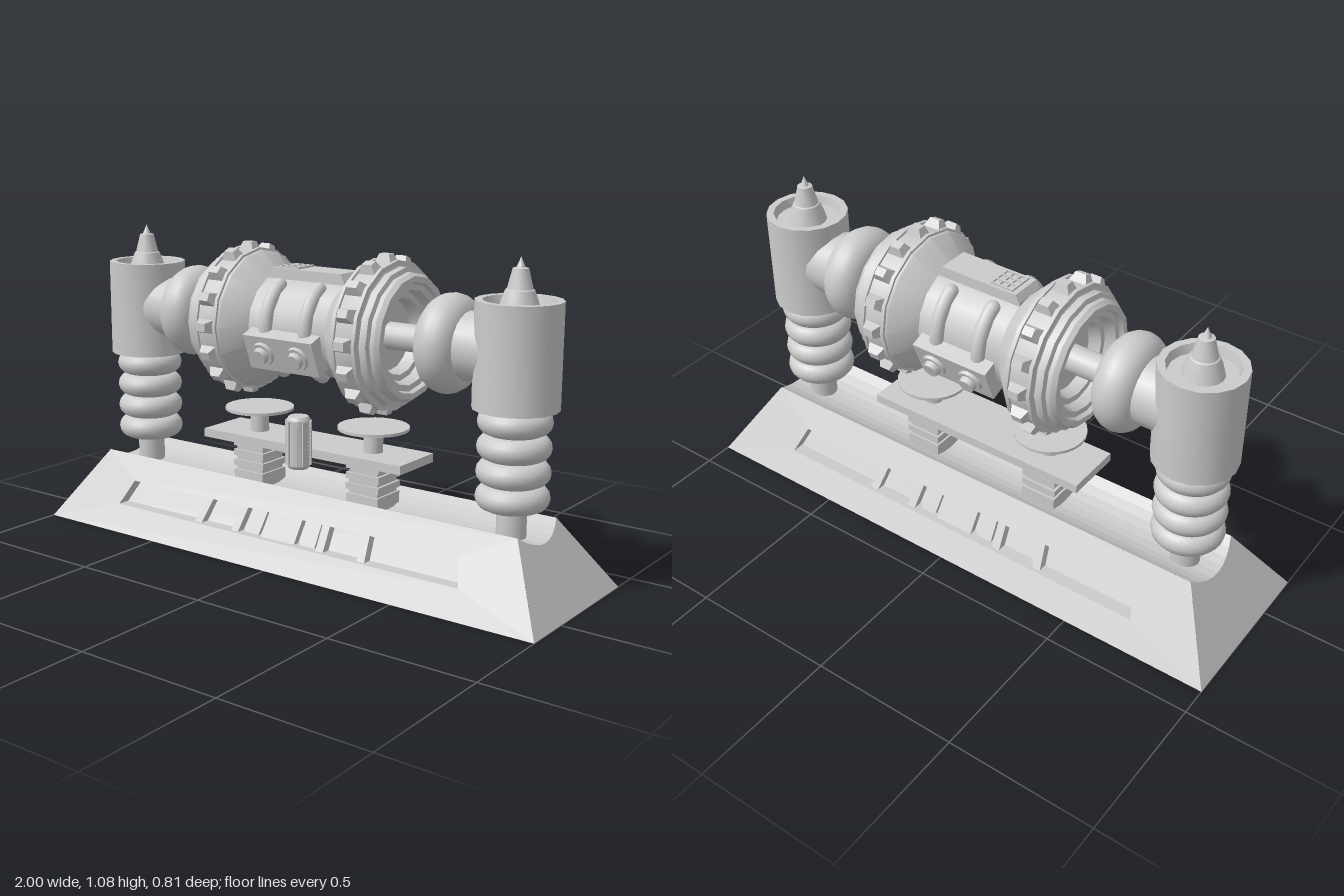
import * as THREE from 'three';
import { toCreasedNormals } from 'three/addons/utils/BufferGeometryUtils.js';

const material = new THREE.MeshStandardMaterial({ color: 0xcccccc });
const AXIS = 0.785; // height of the drum axis

function add(parent, name, geometry, x = 0, y = 0, z = 0) {
  const mesh = new THREE.Mesh(geometry, material);
  mesh.name = name;
  mesh.position.set(x, y, z);
  parent.add(mesh);
  return mesh;
}
function group(parent, name, x = 0, y = 0, z = 0) {
  const g = new THREE.Group();
  g.name = name;
  g.position.set(x, y, z);
  parent.add(g);
  return g;
}
const box = (w, h, d) => new THREE.BoxGeometry(w, h, d);
const cyl = (r1, r2, h, n = 20) => new THREE.CylinderGeometry(r1, r2, h, n);
const lathe = (points, n) => toCreasedNormals(
  new THREE.LatheGeometry(points.map(p => new THREE.Vector2(...p)), n), 0.5);

// Flat four-cornered faces, corners counter-clockwise
function quads(list) {
  const pos = [];
  for (const [a, b, c, d] of list) pos.push(...a, ...b, ...c, ...a, ...c, ...d);
  const g = new THREE.BufferGeometry();
  g.setAttribute('position', new THREE.Float32BufferAttribute(pos, 3));
  g.computeVertexNormals();
  return g;
}
// Moves every vertex of a geometry by a rule
function bend(geometry, rule) {
  const g = geometry.toNonIndexed();
  const p = g.attributes.position;
  for (let i = 0; i < p.count; i++) p.setXYZ(i, ...rule(p.getX(i), p.getY(i), p.getZ(i)));
  g.computeVertexNormals();
  return g;
}

// Sloped plinth with a trough on top and a recessed slot on each long side
function buildBase(root) {
  const base = group(root, 'base');
  const sideZ = y => 0.2875 - 0.653 * y, endX = y => 1 - 0.612 * y;
  const v = a => a.map(p => new THREE.Vector2(...p));
  const trough = [];
  for (let i = 0; i <= 8; i++) {
    const u = 0.1275 * (1 - i / 4);
    trough.push([u, 0.2 + 0.045 * (u / 0.1275) ** 2]);
  }
  const slot = [[-0.71, 0.085], [0.71, 0.085], [0.68, 0.165], [-0.68, 0.165]];
  const face = new THREE.Shape(v([[-1, 0], [1, 0], [0.85, 0.245], [-0.85, 0.245]]));
  face.holes.push(new THREE.Path(v(slot)));
  const faceGeo = bend(new THREE.ShapeGeometry(face), (x, y) => [x, y, sideZ(y)]);
  const outer = slot.map(([x, y]) => [x, y, sideZ(y)]);
  const inner = slot.map(([x, y]) => [x, y, sideZ(y) - 0.045]);
  const slotGeo = quads([inner, ...outer.map((p, i) => {
    const j = (i + 1) % 4;
    return [p, outer[j], inner[j], inner[i]];
  })]);
  const end = new THREE.Shape(v([[-0.2875, 0], [0.2875, 0], ...trough]));
  const endGeo = bend(new THREE.ShapeGeometry(end), (u, y) => [endX(y), y, -u]);
  for (const turn of [0, Math.PI]) {
    const half = group(base, turn ? 'backHalf' : 'frontHalf');
    half.rotation.y = turn;
    add(half, 'slopedFace', faceGeo);
    add(half, 'slotRecess', slotGeo);
    add(half, 'endFace', endGeo);
    // Raised panels and ribs inside the slot: centre, width, thickness
    for (const [x, w, t] of [[0, 0.14, 0.025], [0.115, 0.06, 0.015], [0.175, 0.03, 0.032], [0.335, 0.03, 0.032]])
      for (const s of x ? [-1, 1] : [1])
        add(half, 'slotRib', bend(box(w, 0.08, t), (px, py, pz) =>
          [px + s * x * (1 - 0.5 * py), py + 0.125, sideZ(py + 0.125) - 0.045 + t / 2 + pz]));
  }
  add(base, 'trough', quads(trough.slice(1).map(([u2, y2], i) => {
    const [u1, y1] = trough[i], a = endX(y1), b = endX(y2);
    return [[-a, y1, u1], [a, y1, u1], [b, y2, u2], [-b, y2, u2]];
  })));
  add(base, 'underside', quads([[[-1, 0, -0.2875], [1, 0, -0.2875], [1, 0, 0.2875], [-1, 0, 0.2875]]]));
}

// Coiled column, housing, finial and horizontal insulator; side is +1 or -1
function buildColumn(root, side) {
  const col = group(root, side > 0 ? 'leftColumn' : 'rightColumn', side * 0.76);
  add(col, 'post', cyl(0.048, 0.048, 0.45), 0, 0.405);
  const ring = new THREE.TorusGeometry(0.077, 0.04, 14, 32).rotateX(Math.PI / 2);
  for (let i = 0; i < 4; i++) add(col, 'coil', ring, 0, 0.33 + i * 0.08);
  add(col, 'housing', lathe([[0, 0.61], [0.136, 0.61], [0.136, 0.945], [0.112, 0.945],
    [0.105, 0.915], [0, 0.915]], 16));
  add(col, 'finial', lathe([[0.066, 0.91], [0.056, 0.945], [0.045, 0.975], [0.04, 0.978], [0.027, 1.03],
    [0.025, 1.04], [0.014, 1.043], [0, 1.075]], 16));
  // Sideways parts, pointing at the drum
  const arm = group(col, 'arm', 0, AXIS, 0);
  arm.rotation.z = side * Math.PI / 2;
  add(arm, 'collar', cyl(0.11, 0.11, 0.22, 24), 0, 0.11);
  add(arm, 'insulator', new THREE.TorusGeometry(0.09, 0.07, 18, 36).rotateX(Math.PI / 2), 0, 0.235);
  add(arm, 'flange', cyl(0.08, 0.08, 0.1, 16), 0, 0.26);
  add(arm, 'shaft', cyl(0.045, 0.045, 0.26, 16), 0, 0.35);
}

// Drum with toothed end rings and a fitted-out middle barrel
function buildDrum(root) {
  const drum = group(root, 'drum', 0, AXIS, 0);
  const half = [[0.165, 0], [0.165, 0.155], [0.235, 0.225], [0.238, 0.235], [0.238, 0.325], [0.225, 0.33],
    [0.225, 0.355], [0.21, 0.36], [0.21, 0.375], [0.2, 0.39], [0.18, 0.39], [0.175, 0.375], [0.155, 0.375],
    [0.145, 0.34], [0.125, 0.34], [0.115, 0.3], [0, 0.3]];
  const profile = [...half.slice(1).reverse().map(([r, x]) => [r, -x]), ...half];
  add(drum, 'drumShell', lathe(profile, 16).rotateZ(-Math.PI / 2));

  // Tapered teeth and the rims on both sides of them
  const tooth = cyl(0.026, 0.05, 0.04, 4).rotateY(Math.PI / 4).scale(1, 1, 0.75).toNonIndexed();
  tooth.computeVertexNormals();
  const rim = lathe([[0.23, -0.008], [0.245, -0.006], [0.245, 0.006], [0.23, 0.008]], 16).rotateZ(-Math.PI / 2);
  for (const s of [-1, 1]) {
    for (const x of [0.24, 0.32]) add(drum, 'toothRim', rim, s * x);
    for (let i = 0; i < 16; i++) {
      const spoke = group(drum, 'tooth', s * 0.28);
      spoke.rotation.x = i * Math.PI / 8;
      add(spoke, 'toothBlock', tooth, 0, 0.243);
    }
  }

  // Rounded bars hugging the barrel and tilted control boxes, front and back
  const from = -1.15, to = 1.0;
  const arc = new THREE.TorusGeometry(0.165, 0.025, 10, 24, to - from).rotateZ(from).rotateY(-Math.PI / 2);
  for (const turn of [0, Math.PI]) {
    const face = group(drum, turn ? 'backFittings' : 'frontFittings');
    face.rotation.y = turn;
    for (const x of [-0.08, 0.08]) {
      add(face, 'bar', arc, x);
      for (const a of [from, to])
        add(face, 'barEnd', new THREE.SphereGeometry(0.025, 12, 8), x, 0.165 * Math.sin(a), 0.165 * Math.cos(a));
    }
    const tilt = group(face, 'controlBox');
    tilt.rotation.x = 0.37;
    add(tilt, 'boxBody', box(0.28, 0.125, 0.08), 0, 0, 0.165);
    for (const x of [-0.07, 0.07]) {
      add(tilt, 'knobBase', cyl(0.04, 0.043, 0.012, 12).rotateX(Math.PI / 2), x, 0, 0.21);
      add(tilt, 'knob', cyl(0.026, 0.03, 0.025, 12).rotateX(Math.PI / 2), x, 0, 0.222);
    }
  }

  // Top cover with a small grille
  const cover = new THREE.Shape([[-0.155, 0.13], [0.155, 0.13], [0.155, 0.165], [0.14, 0.19], [-0.14, 0.19],
    [-0.155, 0.165]].map(p => new THREE.Vector2(...p)));
  add(drum, 'topCover', new THREE.ExtrudeGeometry(cover, { depth: 0.11, bevelEnabled: false }), 0, 0, -0.055);
  for (let i = 0; i < 4; i++) {
    add(drum, 'grilleSlat', box(0.085, 0.008, 0.006), -0.08, 0.192, -0.042 + i * 0.028);
    add(drum, 'grilleBar', box(0.006, 0.008, 0.09), -0.1195 + i * 0.0263, 0.192, 0);
  }
}

// Shelf on ribbed pedestals carrying two round plates
function buildShelf(root) {
  const shelf = group(root, 'shelf');
  add(shelf, 'shelfBoard', box(0.82, 0.03, 0.2), 0, 0.373);
  for (const x of [-0.24, 0.24]) {
    add(shelf, 'pedestal', box(0.112, 0.17, 0.115), x, 0.275);
    add(shelf, 'pedestalFoot', box(0.126, 0.06, 0.13), x, 0.22);
    for (let i = 0; i < 3; i++) add(shelf, 'pedestalRib', box(0.13, 0.022, 0.13), x, 0.275 + i * 0.036);
    add(shelf, 'plateStem', cyl(0.033, 0.033, 0.09, 16), x, 0.425);
    add(shelf, 'plate', cyl(0.12, 0.12, 0.01, 24), x, 0.47);
  }
}

// Small fluted canister hovering in front
function buildCanister(root) {
  const can = group(root, 'canister', 0.29, 0.53, 0.4775);
  add(can, 'canisterBody', lathe([[0, -0.08], [0.03, -0.08], [0.036, -0.07], [0.036, 0.07],
    [0.03, 0.08], [0, 0.08]], 16));
  for (let i = 0; i < 8; i++) {
    const flute = group(can, 'flute');
    flute.rotation.y = (i + 0.5) * Math.PI / 4;
    add(flute, 'fluteStrip', box(0.016, 0.135, 0.008), 0, 0, 0.036);
  }
  for (const s of [-1, 1])
    for (let i = 0; i < 9; i++) add(can, 'ventStud', box(0.004, 0.006, 0.012), s * 0.036, -0.048 + i * 0.012, 0);
}

export function createModel() {
  const model = new THREE.Group();
  model.name = 'generator';
  const root = group(model, 'machine', 0, 0, -0.1175);
  buildBase(root);
  for (const side of [-1, 1]) buildColumn(root, side);
  buildDrum(root);
  buildShelf(root);
  buildCanister(root);
  return model;
}
